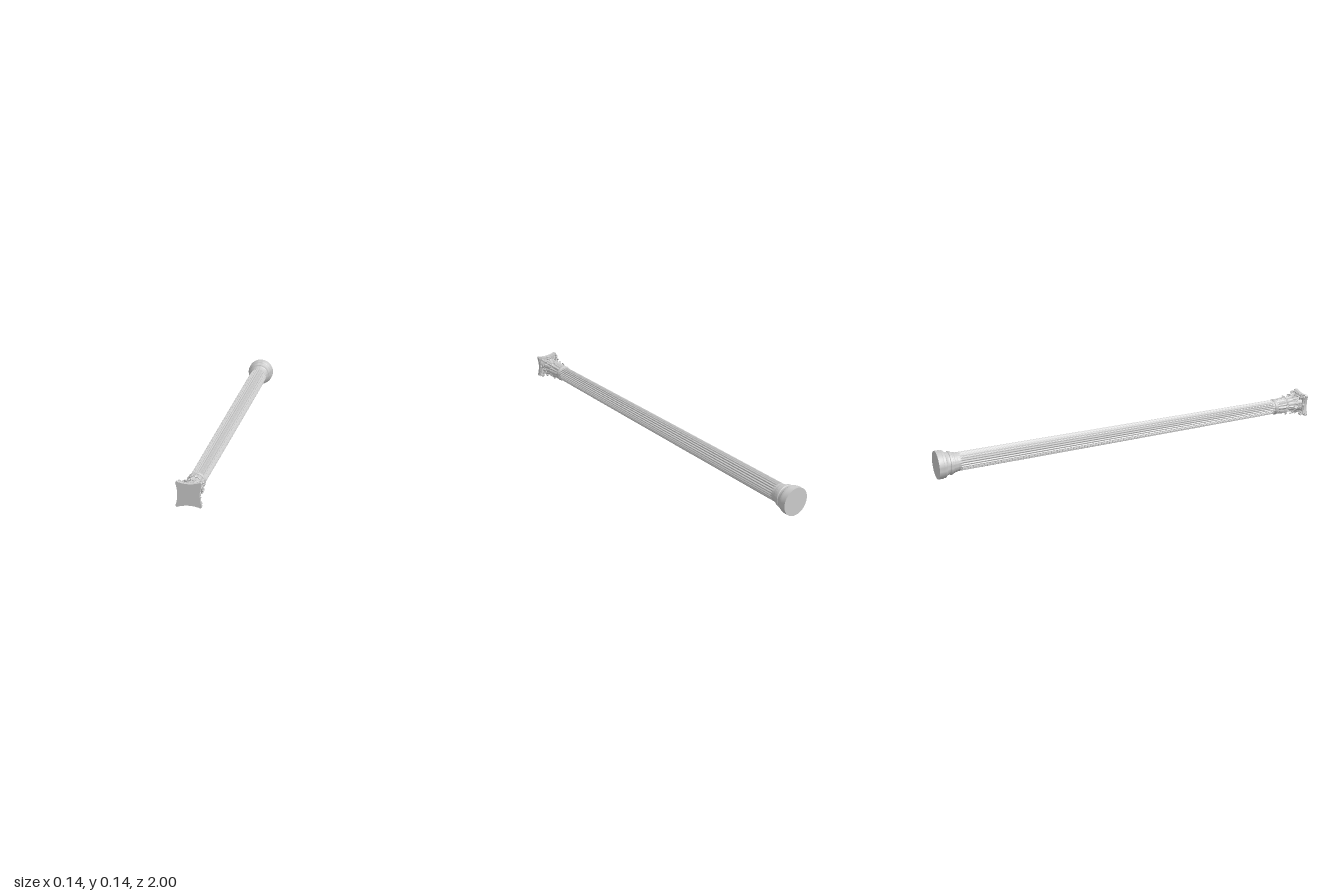
import * as THREE from 'three';
import { toCreasedNormals } from 'three/addons/utils/BufferGeometryUtils.js';

const mat = new THREE.MeshStandardMaterial({ color: 0xcccccc });
const thinMat = new THREE.MeshStandardMaterial({ color: 0xcccccc, side: THREE.DoubleSide });

function add(parent, name, geometry, material = mat) {
  const mesh = new THREE.Mesh(geometry, material);
  mesh.name = name;
  parent.add(mesh);
  return mesh;
}

// Turned part from [radius, height] pairs
function turned(points, segments = 48) {
  const profile = points.map(([r, y]) => new THREE.Vector2(r, y));
  return toCreasedNormals(new THREE.LatheGeometry(profile, segments), 0.6);
}

// Surface through a grid of points: at(i, j) gives [x, y, z]
function gridSurface(rows, cols, at) {
  const pos = [], index = [];
  for (let i = 0; i <= rows; i++)
    for (let j = 0; j <= cols; j++) pos.push(...at(i, j));
  for (let i = 0; i < rows; i++)
    for (let j = 0; j < cols; j++) {
      const a = i * (cols + 1) + j, b = a + cols + 1;
      index.push(a, b, a + 1, a + 1, b, b + 1);
    }
  const g = new THREE.BufferGeometry();
  g.setAttribute('position', new THREE.Float32BufferAttribute(pos, 3));
  g.setIndex(index);
  g.computeVertexNormals();
  return g;
}

// Tapered shaft with 24 scooped flutes that fade out at both ends
function flutedShaft() {
  const flutes = 24, per = 8, y0 = -0.91, y1 = 0.835;
  const levels = [0, 0.006, 0.01, 0.018, 0.2, 0.4, 0.6, 0.8, 0.982, 0.99, 0.994, 1];
  const g = gridSurface(levels.length - 1, flutes * per, (i, j) => {
    const t = levels[i];
    const radius = 0.0455 - 0.006 * t - 0.003 * t * t;
    const end = Math.min(t, 1 - t);
    const fade = THREE.MathUtils.smoothstep(end, 0.005, 0.018);
    const f = (j % per) / per;
    const scoop = f > 0.2 ? Math.sin(((f - 0.2) / 0.8) * Math.PI) : 0;
    const r = radius - 0.0045 * scoop * fade;
    const a = (j / (flutes * per)) * Math.PI * 2;
    return [r * Math.sin(a), y0 + (y1 - y0) * t, r * Math.cos(a)];
  });
  // Corner order of the grid faces inwards here, so flip it
  g.setIndex(Array.from(g.index.array).reverse());
  return toCreasedNormals(g, 0.5);
}

// Leaf growing up the bell (facing +z), its tip curling out and down
function leafGeometry(y, height, width, r0, reach) {
  const spine = new THREE.CatmullRomCurve3([
    new THREE.Vector3(0, y, r0),
    new THREE.Vector3(0, y + height * 0.5, r0 + 0.003),
    new THREE.Vector3(0, y + height * 0.88, r0 + (reach - r0) * 0.4),
    new THREE.Vector3(0, y + height, r0 + (reach - r0) * 0.75),
    new THREE.Vector3(0, y + height * 0.92, reach),
    new THREE.Vector3(0, y + height * 0.8, reach - 0.002),
  ]);
  const rows = 18, cols = 8;
  return toCreasedNormals(gridSurface(rows, cols, (i, j) => {
    const t = i / rows, u = (j / cols) * 2 - 1;
    const p = spine.getPoint(t);
    const lobes = 0.82 + 0.18 * Math.abs(Math.cos(t * Math.PI * 4));
    const w = width * 0.5 * lobes * (t < 0.6 ? 0.85 + 0.25 * t : Math.sqrt(1.02 - t) * 1.58);
    const rib = 0.002 * Math.cos(u * Math.PI * 2) - 0.004 * u * u;
    return [u * w, p.y, p.z + rib];
  }), 0.7);
}

// Scroll: a stalk rising from the bell that winds into a spiral, in the x-y plane
function scrollGeometry(start, centre, size, tube, turns) {
  const pts = [new THREE.Vector3(start[0], start[1], 0)];
  for (let i = 0; i <= turns * 10; i++) {
    const k = i / (turns * 10), a = Math.PI * 0.75 - k * turns * Math.PI * 2;
    const r = size * (1 - 0.85 * k);
    pts.push(new THREE.Vector3(centre[0] + r * Math.cos(a), centre[1] + r * Math.sin(a), 0));
  }
  const g = new THREE.TubeGeometry(new THREE.CatmullRomCurve3(pts), 48, tube, 6);
  return g.scale(1, 1, 2);
}

// Square slab with hollow sides and blunt corners
function abacusGeometry(side, corner, y, depth) {
  const s = new THREE.Shape();
  const c = corner, b = corner - 0.006, hollow = side * 2 - b;
  s.moveTo(c, -b);
  for (let k = 0; k < 4; k++) {
    const q = (k * Math.PI) / 2, cos = Math.round(Math.cos(q)), sin = Math.round(Math.sin(q));
    const at = (x, z) => [x * cos - z * sin, x * sin + z * cos];
    s.quadraticCurveTo(...at(hollow, 0), ...at(c, b));
    s.lineTo(...at(b, c));
  }
  const g = new THREE.ExtrudeGeometry(s, { depth, bevelEnabled: false, curveSegments: 16 });
  g.rotateX(-Math.PI / 2).translate(0, y, 0);
  return toCreasedNormals(g, 0.6);
}

function ringOf(parent, name, geometry, count, offset, material) {
  for (let i = 0; i < count; i++)
    add(parent, name, geometry, material).rotation.y = offset + (i / count) * Math.PI * 2;
}

export function createModel() {
  const model = new THREE.Group();
  model.name = 'column';

  // Built upright along y, then laid down with the capital at the front
  const column = new THREE.Group();
  column.name = 'layingColumn';
  column.rotation.x = Math.PI / 2;
  column.position.y = 0.069;
  model.add(column);

  // Base: plinth disc, two rounded mouldings with a hollow between, and a collar
  add(column, 'base', turned([
    [0, -1], [0.069, -1], [0.069, -0.976], [0.066, -0.974],
    [0.067, -0.969], [0.066, -0.963], [0.063, -0.96],
    [0.059, -0.958], [0.056, -0.952], [0.0545, -0.945], [0.0545, -0.94],
    [0.057, -0.938], [0.0575, -0.933], [0.056, -0.927], [0.051, -0.925],
    [0.051, -0.918], [0.048, -0.915], [0.048, -0.907], [0.045, -0.9], [0, -0.9],
  ]));

  add(column, 'shaft', flutedShaft());

  // Capital
  const capital = new THREE.Group();
  capital.name = 'capital';
  column.add(capital);

  add(capital, 'neckRing', turned([
    [0.034, 0.818], [0.038, 0.819], [0.0405, 0.823], [0.0415, 0.828],
    [0.0405, 0.833], [0.038, 0.837], [0.034, 0.838],
  ]));
  add(capital, 'bell', turned([
    [0.034, 0.83], [0.034, 0.89], [0.035, 0.93], [0.038, 0.958],
    [0.043, 0.972], [0.043, 0.982], [0, 0.982],
  ]));

  // Two staggered tiers of leaves
  ringOf(capital, 'lowerLeaf', leafGeometry(0.836, 0.06, 0.027, 0.0365, 0.05), 8, Math.PI / 8, thinMat);
  ringOf(capital, 'upperLeaf', leafGeometry(0.842, 0.104, 0.025, 0.036, 0.055), 8, 0, thinMat);

  // Large scrolls under the corners and small paired ones on each face
  ringOf(capital, 'cornerScroll',
    scrollGeometry([0.036, 0.915], [0.061, 0.965], 0.0115, 0.0024, 2), 4, Math.PI / 4);
  const small = scrollGeometry([0.02, 0.925], [0.0105, 0.964], 0.0075, 0.0015, 1.5);
  for (let i = 0; i < 4; i++) {
    const face = new THREE.Group();
    face.name = 'faceScrolls';
    face.rotation.y = (i * Math.PI) / 2;
    capital.add(face);
    for (const side of [-1, 1]) {
      const scroll = add(face, 'faceScroll', small, thinMat);
      scroll.position.z = 0.043;
      scroll.scale.x = side;
    }
    // Flower at the middle of the slab side
    const flower = add(face, 'flower', new THREE.SphereGeometry(0.007, 10, 8));
    flower.position.set(0, 0.982, 0.046);
    flower.scale.set(1, 1, 0.8);
  }

  // Slab with a slightly smaller moulding below it
  add(capital, 'abacusMoulding', abacusGeometry(0.043, 0.053, 0.977, 0.008));
  add(capital, 'abacus', abacusGeometry(0.046, 0.058, 0.984, 0.016));

  return model;
}
